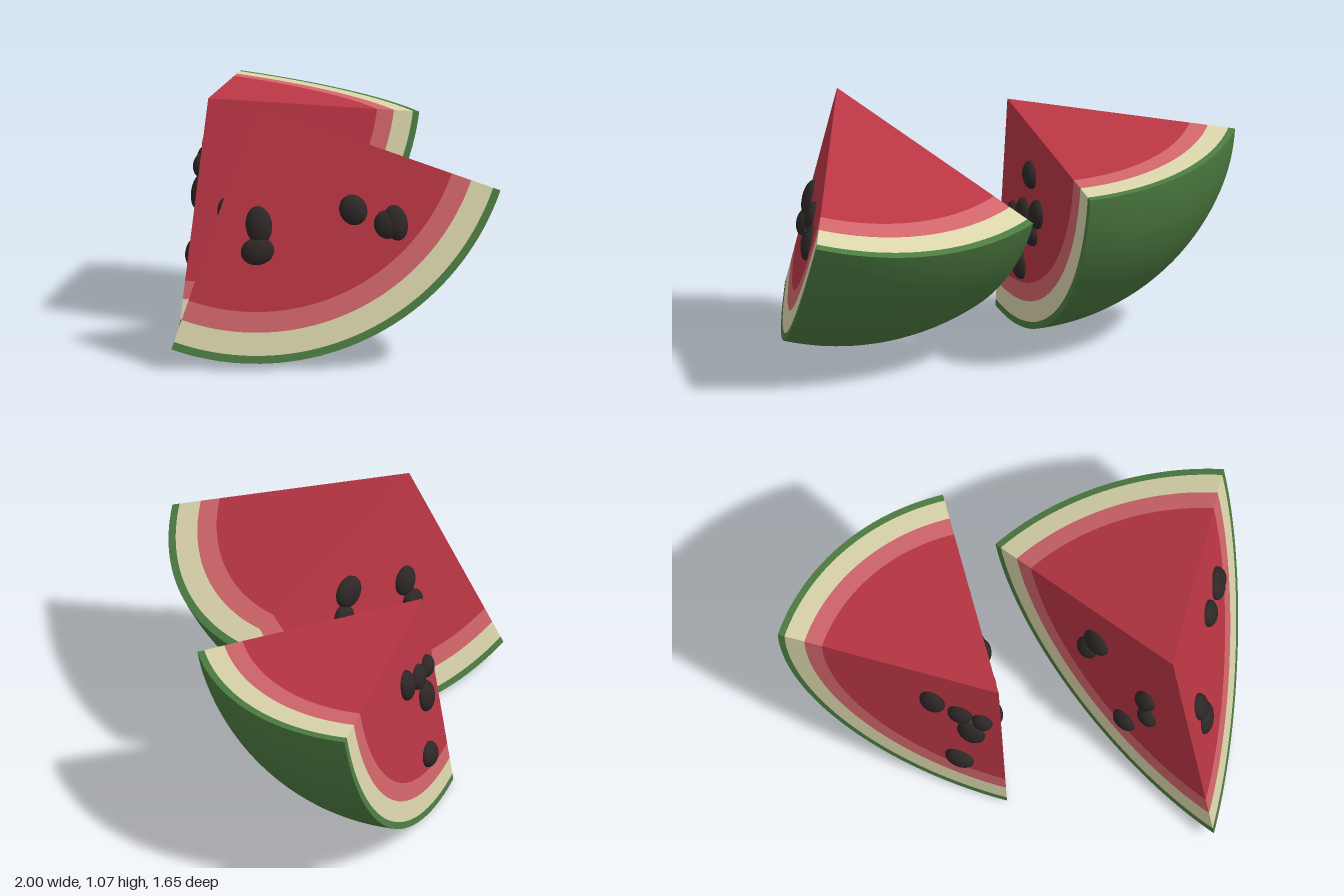
import * as THREE from 'three';
import { mergeGeometries } from 'three/addons/utils/BufferGeometryUtils.js';

const mat = (name, color) => {
  const m = new THREE.MeshStandardMaterial({ color });
  m.name = name;
  return m;
};
const V = (x, y, z) => new THREE.Vector3(x, y, z);

// Flat layers on every cut face: name, inner and outer radius as a share of the melon radius
const LAYERS = [
  ['redFlesh', 0, 0.8],
  ['pinkFlesh', 0.8, 0.88],
  ['creamPith', 0.88, 0.97],
  ['greenRind', 0.97, 1],
];

// Flat sector from direction a to direction b, facing along a x b
function sector(a, b, inner, outer) {
  const n = a.clone().cross(b).normalize();
  const angle = a.angleTo(b);
  const g = inner === 0
    ? new THREE.CircleGeometry(outer, 40, 0, angle)
    : new THREE.RingGeometry(inner, outer, 40, 1, 0, angle);
  return g.applyMatrix4(new THREE.Matrix4().makeBasis(a, n.clone().cross(a), n));
}

// Seeds lying on a cut face, each given as [x, y, width, height, tilt]
function addSeeds(group, apex, normal, list, material) {
  const up = V(0, 1, 0).addScaledVector(normal, -normal.y).normalize();
  const side = up.clone().cross(normal);
  const basis = new THREE.Matrix4().makeBasis(side, up, normal);
  for (const [x, y, w, h, tilt] of list) {
    const z = apex.z - (normal.x * (x - apex.x) + normal.y * (y - apex.y)) / normal.z;
    const seed = new THREE.Mesh(new THREE.SphereGeometry(1, 18, 12), material);
    seed.name = 'seed';
    seed.scale.set(w / 2, h / 2, 0.034);
    seed.quaternion.setFromRotationMatrix(basis);
    seed.rotateZ(tilt);
    seed.position.set(x, y, z).addScaledVector(normal, 0.004);
    group.add(seed);
  }
}

// Half of a melon wedge: apex at the melon centre, two upper corners, pole at the lower tip
function wedge(name, apex, cornerA, cornerB, radius, seedsA, seedsB, mats) {
  const group = new THREE.Group();
  group.name = name;
  const c = cornerA.clone().sub(apex).normalize();
  const d = cornerB.clone().sub(apex).normalize();
  const pole = c.clone().cross(d).normalize();

  // Cut faces, one mesh per layer
  for (const [part, inner, outer] of LAYERS) {
    const faces = [[d, c], [c, pole], [pole, d]].map(([a, b]) => sector(a, b, inner, outer));
    const mesh = new THREE.Mesh(mergeGeometries(faces), mats[part]);
    mesh.name = part;
    mesh.position.copy(apex);
    mesh.scale.setScalar(radius);
    group.add(mesh);
  }

  // Round outer skin
  const skin = new THREE.SphereGeometry(1, 40, 40, 0, c.angleTo(d), 0, Math.PI / 2);
  const x = c.clone().negate();
  skin.applyMatrix4(new THREE.Matrix4().makeBasis(x, pole, x.clone().cross(pole)));
  const shell = new THREE.Mesh(skin, mats.greenRind);
  shell.name = 'outerSkin';
  shell.position.copy(apex);
  shell.scale.setScalar(radius);
  group.add(shell);

  addSeeds(group, apex, c.clone().cross(pole).normalize(), seedsA, mats.seed);
  addSeeds(group, apex, pole.clone().cross(d).normalize(), seedsB, mats.seed);
  return group;
}

export function createModel() {
  const mats = {
    redFlesh: mat('red flesh', 0xb93644),
    pinkFlesh: mat('pink flesh', 0xd2666b),
    creamPith: mat('cream pith', 0xdcd6ac),
    greenRind: mat('green rind', 0x4d7d42),
    seed: mat('dark seed', 0x2d2726),
  };
  const model = new THREE.Group();
  model.name = 'watermelonSlices';

  // Smaller slice at the back
  model.add(wedge('rearSlice', V(-0.35, 0.96, 0.12), V(-1, 0.89, -0.57), V(-0.1, 0.83, -0.79), 0.96,
    [[-0.56, 0.715, 0.11, 0.145, 0.2], [-0.48, 0.675, 0.11, 0.11, 0.3], [-0.415, 0.665, 0.09, 0.1, 0],
      [-0.455, 0.545, 0.12, 0.15, 0.3], [-0.505, 0.28, 0.13, 0.11, -0.5]],
    [[-0.275, 0.72, 0.1, 0.12, 0.1], [-0.255, 0.57, 0.11, 0.13, -0.3], [-0.295, 0.53, 0.1, 0.13, 0],
      [-0.325, 0.475, 0.1, 0.13, 0.2], [-0.27, 0.46, 0.1, 0.09, 0], [-0.305, 0.285, 0.1, 0.12, 0]], mats));

  // Larger slice at the front
  model.add(wedge('frontSlice', V(0.32, 1.07, 0.4), V(0.01, 0.68, -0.55), V(0.99, 0.72, -0.36), 1.07,
    [[0.165, 0.685, 0.13, 0.14, -0.5], [0.14, 0.58, 0.1, 0.12, 0], [0.23, 0.6, 0.1, 0.13, -0.3],
      [0.222, 0.495, 0.1, 0.1, 0], [0.167, 0.3, 0.12, 0.1, 0.4]],
    [[0.41, 0.585, 0.11, 0.16, 0.1], [0.425, 0.48, 0.14, 0.115, 0.2], [0.635, 0.645, 0.115, 0.13, 0.4],
      [0.73, 0.585, 0.11, 0.12, 0.3], [0.75, 0.592, 0.1, 0.15, 0.2]], mats));
  return model;
}
